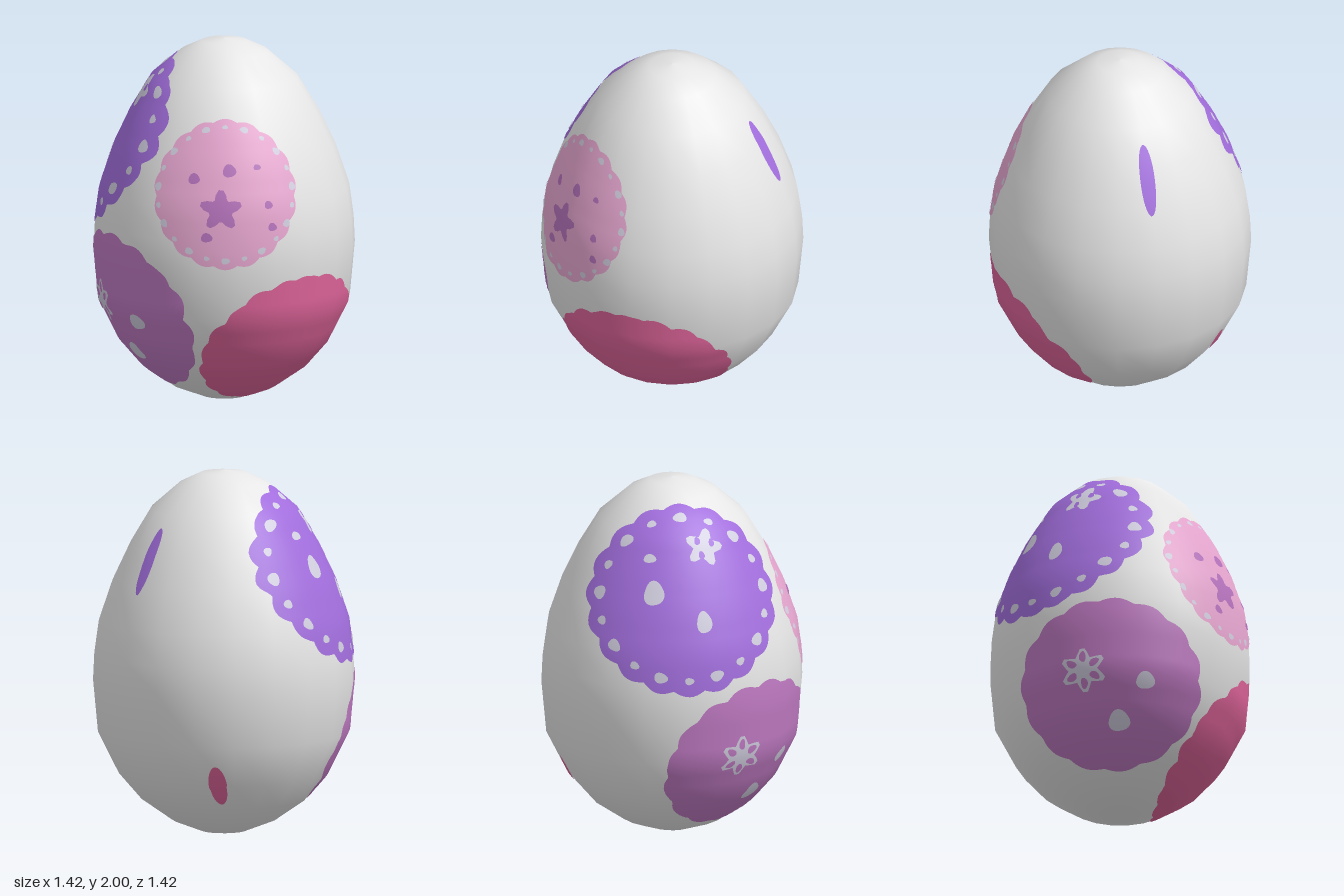
import * as THREE from 'three';

const SIDES = 20, STEP = Math.PI * 2 / SIDES, START = STEP / 2 + 0.02;
const DEG = Math.PI / 180;

// Egg profile: radius, height
const PROFILE = [
  [0, 0], [0.125, 0.008], [0.285, 0.07], [0.45, 0.185], [0.575, 0.33], [0.69, 0.56],
  [0.717, 0.85], [0.71, 1.0], [0.685, 1.18], [0.61, 1.4], [0.52, 1.59],
  [0.4, 1.79], [0.24, 1.93], [0.125, 1.985], [0, 2],
];

const flat = (name, color) => {
  const m = new THREE.MeshStandardMaterial({ color });
  m.name = name;
  return m;
};

// Radius of the profile at a height
function radiusAt(y) {
  for (let i = 1; i < PROFILE.length; i++) {
    const [r0, y0] = PROFILE[i - 1], [r1, y1] = PROFILE[i];
    if (y <= y1) return r0 + (r1 - r0) * Math.max(0, (y - y0) / (y1 - y0));
  }
  return 0;
}

// True inside the faceted egg
function inside(p) {
  if (p.y < 0 || p.y > 2) return false;
  let a = (Math.atan2(p.x, p.z) - START) % STEP;
  if (a < 0) a += STEP;
  const r = radiusAt(p.y) * Math.cos(STEP / 2) / Math.cos(a - STEP / 2);
  return Math.hypot(p.x, p.z) < r;
}

// Smoothed outward normal
function normalAt(p) {
  const lo = Math.max(0, p.y - 0.08), hi = Math.min(2, p.y + 0.08);
  const slope = (radiusAt(hi) - radiusAt(lo)) / (hi - lo);
  const d = Math.hypot(p.x, p.z) || 1;
  return new THREE.Vector3(p.x / d, -slope, p.z / d).normalize();
}

// Tangent frame on the surface at an azimuth (0 = front, positive towards +x)
function frameAt(az, y) {
  const r = radiusAt(y);
  const origin = new THREE.Vector3(Math.sin(az) * r, y, Math.cos(az) * r);
  const n = normalAt(origin);
  const u = new THREE.Vector3(Math.cos(az), 0, -Math.sin(az));
  return { origin, n, u, v: n.clone().cross(u) };
}

// Frame under a point given by x and y on the front
const frontFrame = (x, y) => frameAt(Math.asin(Math.max(-1, Math.min(1, x / radiusAt(y)))), y);

// Thin painted shape that follows the egg; outline(angle) gives relative radius
function paint(name, material, frame, rx, ry, outline, lift, cu = 0, cv = 0, turn = 0) {
  const size = Math.max(rx, ry);
  const rings = Math.max(3, Math.ceil(size / 0.025)), sectors = size > 0.2 ? 144 : 30;
  const pos = [], nor = [], idx = [];
  for (let i = 0; i <= rings; i++) {
    for (let j = 0; j <= sectors; j++) {
      const t = j / sectors * Math.PI * 2, k = i / rings * outline(t);
      const a = Math.cos(t) * rx * k, b = Math.sin(t) * ry * k;
      const flatPoint = frame.origin.clone()
        .addScaledVector(frame.u, cu + a * Math.cos(turn) - b * Math.sin(turn))
        .addScaledVector(frame.v, cv + a * Math.sin(turn) + b * Math.cos(turn));
      let lo = -0.5, hi = 0.1;
      const p = new THREE.Vector3();
      for (let s = 0; s < 20; s++) {
        const mid = (lo + hi) / 2;
        p.copy(flatPoint).addScaledVector(frame.n, mid);
        if (inside(p)) lo = mid; else hi = mid;
      }
      const n = normalAt(p);
      p.addScaledVector(n, lift);
      pos.push(p.x, p.y, p.z);
      nor.push(n.x, n.y, n.z);
      if (i < rings && j < sectors) {
        const q = i * (sectors + 1) + j, w = q + sectors + 1;
        idx.push(q, w, w + 1);
        if (i > 0) idx.push(q, w + 1, q + 1);
      }
    }
  }
  const g = new THREE.BufferGeometry();
  g.setAttribute('position', new THREE.Float32BufferAttribute(pos, 3));
  g.setAttribute('normal', new THREE.Float32BufferAttribute(nor, 3));
  g.setIndex(idx);
  const mesh = new THREE.Mesh(g, material);
  mesh.name = name;
  return mesh;
}

const scallop = (lobes, depth) => t => 1 - depth + 2 * depth * Math.abs(Math.sin(t * lobes / 2));
const star = (points, depth, phase = 0) => t => 1 - depth + depth * Math.cos(points * t + phase);
const blob = t => 1 + 0.07 * Math.cos(3 * t + 1);
const waisted = t => 1 - 0.1 * Math.cos(2 * t);
const BASE = 0.004, SPOT = 0.007, TOP = 0.0095;

export function createModel() {
  const model = new THREE.Group();
  model.name = 'paintedEgg';
  const shell = flat('shell white', 0xe6e6e6);
  const violet = flat('violet', 0xa26edd);
  const mauve = flat('mauve', 0xc07ac3);
  const pink = flat('pink', 0xe9a8d2);
  const magenta = flat('magenta', 0xe0659b);
  const plum = flat('plum', 0xb673bd);
  const lavender = flat('pale lavender', 0xd2cfe0);

  const egg = new THREE.Mesh(
    new THREE.LatheGeometry(PROFILE.map(p => new THREE.Vector2(...p)), SIDES, START), shell);
  egg.name = 'eggShell';
  model.add(egg);

  const patch = name => {
    const g = new THREE.Group();
    g.name = name;
    model.add(g);
    return g;
  };
  // Dots at [x, y, rx, ry] on the front
  const spots = (group, material, list) => list.forEach(([x, y, rx, ry]) =>
    group.add(paint('spot', material, frontFrame(x, y), rx, ry, blob, SPOT)));
  // Ring of dots just inside a patch edge
  const dotRing = (group, frame, count, radius, size) => {
    for (let i = 0; i < count; i++) {
      const t = (i + 0.5) / count * Math.PI * 2, s = size * (i % 2 ? 0.75 : 1.1);
      group.add(paint('edgeDot', lavender, frame, s * 0.8, s * 1.1, blob, SPOT,
        Math.cos(t) * radius, Math.sin(t) * radius, t));
    }
  };

  // Violet patch, upper right side of the egg
  const a = patch('violetPatch'), fa = frameAt(-60 * DEG, 1.48);
  a.add(paint('violetField', violet, fa, 0.505, 0.52, scallop(18, 0.025), BASE));
  dotRing(a, fa, 18, 0.45, 0.031);
  spots(a, lavender, [[-0.49, 1.35, 0.042, 0.06], [-0.55, 1.5, 0.055, 0.068], [-0.468, 1.67, 0.035, 0.025]]);
  const fFlower = frontFrame(-0.31, 1.72);
  a.add(paint('flower', lavender, fFlower, 0.11, 0.11, star(5, 0.22), SPOT));
  for (const t of [0.4, 2.3, 4.2])
    a.add(paint('flowerGap', violet, fFlower, 0.016, 0.022, blob, TOP, 0.05 * Math.cos(t), 0.05 * Math.sin(t)));

  // Mauve patch, lower front
  const b = patch('mauvePatch'), fb = frameAt(-23 * DEG, 0.48);
  b.add(paint('mauveField', mauve, fb, 0.485, 0.465, scallop(15, 0.02), BASE));
  spots(b, lavender, [[-0.06, 0.51, 0.052, 0.048], [-0.17, 0.31, 0.058, 0.06]]);
  const fb2 = frontFrame(-0.39, 0.57);
  b.add(paint('flower', lavender, fb2, 0.135, 0.125, star(6, 0.2, Math.PI), SPOT));
  for (let i = 0; i < 6; i++) {
    const t = (i + 0.5) * Math.PI / 3;
    b.add(paint('petalCentre', mauve, fb2, 0.03, 0.019, blob, TOP, 0.073 * Math.cos(t), 0.073 * Math.sin(t), t));
  }

  // Pink patch, upper left front
  const c = patch('pinkPatch'), fc = frameAt(41 * DEG, 1.27);
  c.add(paint('pinkField', pink, fc, 0.38, 0.405, scallop(18, 0.02), BASE));
  dotRing(c, fc, 22, 0.365, 0.019);
  c.add(paint('star', plum, frontFrame(0.43, 1.18), 0.12, 0.115, star(5, 0.24, -Math.PI / 2), SPOT));
  spots(c, plum, [
    [0.27, 1.34, 0.032, 0.03], [0.42, 1.385, 0.036, 0.036], [0.38, 1.03, 0.031, 0.025],
    [0.595, 1.2, 0.022, 0.022], [0.62, 1.08, 0.024, 0.022], [0.515, 1.4, 0.02, 0.016]]);

  // Magenta patch, lower left side
  const d = patch('magentaPatch');
  d.add(paint('magentaField', magenta, frameAt(81 * DEG, 0.32), 0.47, 0.455, scallop(18, 0.015), BASE));

  // Stray brush marks on the back
  const e = patch('backMarks');
  e.add(paint('violetMark', violet, frameAt(171.5 * DEG, 1.545), 0.045, 0.18, waisted, BASE));
  e.add(paint('magentaMark', magenta, frameAt(-142 * DEG, 0.33), 0.05, 0.13,
    t => 1 - 0.2 * Math.cos(2 * t) * (Math.sin(t) < 0 ? 0.5 : 0), BASE, 0, 0, 0.12));
  return model;
}
